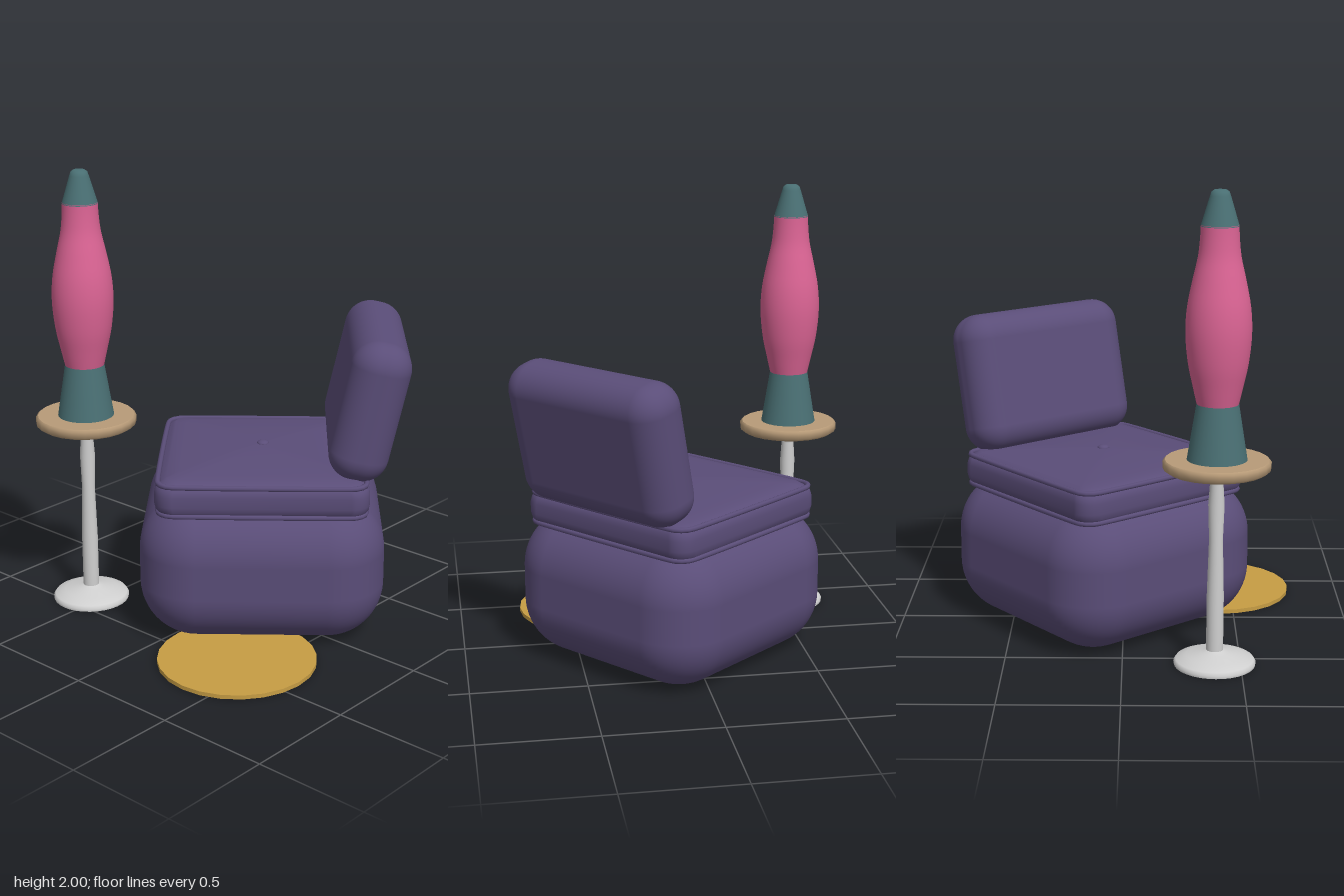
import * as THREE from 'three';
import { RoundedBoxGeometry } from 'three/addons/geometries/RoundedBoxGeometry.js';

const mat = (name, color, side = THREE.FrontSide) => {
  const m = new THREE.MeshStandardMaterial({ color, side });
  m.name = name;
  return m;
};

// Outline of a rounded square with half size h and corner radius r
function roundedSquare(h, r, steps = 8) {
  const pts = [];
  for (let c = 0; c < 4; c++) {
    const a0 = c * Math.PI / 2;
    const cx = (h - r) * (c === 0 || c === 3 ? 1 : -1);
    const cz = (h - r) * (c < 2 ? 1 : -1);
    for (let i = 0; i <= steps; i++) {
      const a = a0 + (i / steps) * Math.PI / 2;
      pts.push([cx + r * Math.cos(a), cz + r * Math.sin(a)]);
    }
  }
  return pts;
}

// Skin over stacked rounded squares, each given as [y, halfSize, radius]
function loft(rings) {
  const pos = [], idx = [];
  let n = 0;
  for (const [y, h, r] of rings) {
    const ring = roundedSquare(h, r);
    n = ring.length;
    for (const [x, z] of ring) pos.push(x, y, z);
  }
  for (let j = 0; j < rings.length - 1; j++) {
    for (let i = 0; i < n; i++) {
      const k = (i + 1) % n;
      const a = j * n + i, b = j * n + k, c = a + n, d = b + n;
      idx.push(a, c, b, b, c, d);
    }
  }
  const g = new THREE.BufferGeometry();
  g.setAttribute('position', new THREE.Float32BufferAttribute(pos, 3));
  g.setIndex(idx);
  g.computeVertexNormals();
  return g;
}

// Turned solid; repeated points keep an edge sharp
function turned(profile, segments = 32) {
  return new THREE.LatheGeometry(profile.map(([r, y]) => new THREE.Vector2(r, y)), segments);
}

export function createModel() {
  const purple = mat('purple fabric', 0x5a4d78);
  const pink = mat('pink glass', 0xdb6494);
  const teal = mat('teal metal', 0x4a7074);
  const wood = mat('pale wood', 0xb89b78);
  const grey = mat('light grey metal', 0xcfcfcf);
  const gold = mat('gold rug', 0xc79d44);

  const model = new THREE.Group();
  const add = (parent, name, geo, material, x = 0, y = 0, z = 0) => {
    const m = new THREE.Mesh(geo, material);
    m.name = name;
    m.position.set(x, y, z);
    parent.add(m);
    return m;
  };

  // Chair, turned towards the side table
  const chair = new THREE.Group();
  chair.name = 'chair';
  chair.position.set(0.075, 0, -0.093);
  chair.rotation.y = -THREE.MathUtils.degToRad(50);
  model.add(chair);

  add(chair, 'chairBase', new RoundedBoxGeometry(1.07, 0.65, 1.07, 8, 0.25), purple, 0, 0.325, 0);

  // Seat cushion with bulging sides and a gently domed top
  add(chair, 'seatCushion', loft([
    [0.595, 0.02, 0.01], [0.595, 0.42, 0.06], [0.605, 0.445, 0.07],
    [0.62, 0.457, 0.08], [0.645, 0.462, 0.08], [0.69, 0.462, 0.08],
    [0.715, 0.457, 0.08], [0.73, 0.445, 0.07], [0.74, 0.425, 0.06],
    [0.75, 0.41, 0.05], [0.758, 0.36, 0.05], [0.768, 0.24, 0.05],
    [0.775, 0.12, 0.04], [0.778, 0.002, 0.001],
  ]), purple);

  // Piping along both cushion seams
  for (const [name, y] of [['lowerPiping', 0.603], ['upperPiping', 0.735]]) {
    const path = new THREE.CatmullRomCurve3(
      roundedSquare(0.447, 0.07, 5).map(([x, z]) => new THREE.Vector3(x, y, z)), true);
    add(chair, name, new THREE.TubeGeometry(path, 120, 0.012, 8, true), purple);
  }

  const button = add(chair, 'seatButton', new THREE.SphereGeometry(0.027, 16, 10), purple, 0, 0.777, 0);
  button.scale.y = 0.5;

  // Backrest leaning back
  const back = add(chair, 'backrest', new RoundedBoxGeometry(0.86, 0.625, 0.26, 8, 0.115), purple, 0, 1.04, -0.455);
  back.rotation.x = -THREE.MathUtils.degToRad(12.5);

  // Side table
  const table = new THREE.Group();
  table.name = 'sideTable';
  table.position.set(-0.555, 0, 0.39);
  model.add(table);

  add(table, 'tableStand', turned([
    [0, 0], [0.172, 0], [0.172, 0], [0.174, 0.012], [0.165, 0.025], [0.12, 0.042],
    [0.06, 0.055], [0.036, 0.065], [0.036, 0.065], [0.036, 0.3], [0.029, 0.55],
    [0.034, 0.7], [0.028, 0.79], [0.035, 0.808], [0.065, 0.845], [0, 0.845],
  ]), grey);
  add(table, 'tableTop', turned([
    [0, 0.845], [0.205, 0.845], [0.205, 0.845], [0.224, 0.858], [0.225, 0.885],
    [0.215, 0.895], [0.215, 0.895], [0, 0.895],
  ], 24), wood);

  // Lamp on the table
  const lamp = new THREE.Group();
  lamp.name = 'lamp';
  table.add(lamp);
  add(lamp, 'lampBase', turned([
    [0, 0.895], [0.125, 0.895], [0.125, 0.895], [0.087, 1.13], [0.087, 1.13], [0, 1.13],
  ]), teal);

  const glassCurve = new THREE.SplineCurve([
    [0.086, 1.125], [0.103, 1.2], [0.124, 1.3], [0.135, 1.42], [0.129, 1.53],
    [0.108, 1.64], [0.088, 1.73], [0.08, 1.8], [0.077, 1.86],
  ].map(([r, y]) => new THREE.Vector2(r, y)));
  add(lamp, 'lampGlass', new THREE.LatheGeometry(glassCurve.getPoints(32), 32), pink);

  add(lamp, 'lampCap', turned([
    [0, 1.855], [0.078, 1.855], [0.078, 1.855], [0.042, 1.975], [0.036, 1.992], [0.024, 2], [0, 2],
  ]), teal);

  // Round rug
  add(model, 'rug', new THREE.CylinderGeometry(0.343, 0.343, 0.018, 24), gold, 0.38, 0.011, 0.428);

  return model;
}
